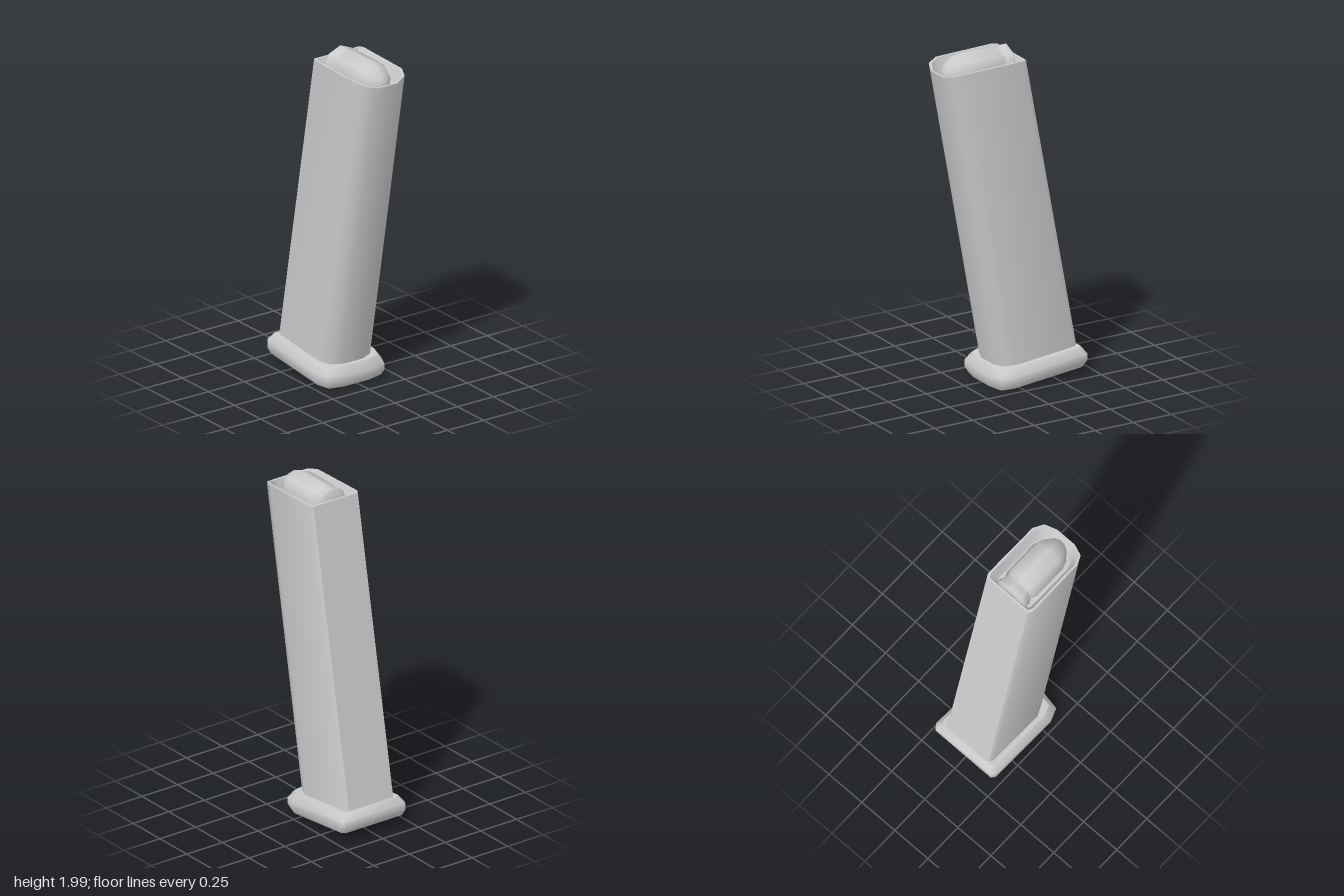
import * as THREE from 'three';
import { toCreasedNormals } from 'three/addons/utils/BufferGeometryUtils.js';

const material = new THREE.MeshStandardMaterial({ color: 0xcccccc });

// Mirrors a half outline (z > 0, back to front) into a closed one.
const mirror = (half) => [...half, ...half.map(([x, z, y]) => [x, -z, y]).reverse()];

// Shrinks an outline by a fixed margin on every side.
function inset(outline, margin) {
  const xs = outline.map((p) => p[0]);
  const lo = Math.min(...xs), hi = Math.max(...xs);
  const cx = (lo + hi) / 2;
  const hz = Math.max(...outline.map((p) => p[1]));
  const sx = 1 - margin / ((hi - lo) / 2), sz = 1 - margin / hz;
  return outline.map(([x, z, y]) => [cx + (x - cx) * sx, z * sz, y]);
}

// Skins a stack of rings of Vector3 and closes both ends.
function loft(rings, crease) {
  const n = rings[0].length;
  const center = (r) => r.reduce((s, p) => s.add(p), new THREE.Vector3()).divideScalar(n);
  const last = rings.length - 1;
  const points = [...rings.flat(), center(rings[0]), center(rings[last])];
  const index = [];
  for (let i = 0; i < n; i++) {
    const j = (i + 1) % n;
    for (let k = 0; k < last; k++) {
      const a = k * n + i, b = k * n + j;
      index.push(a, b, b + n, a, b + n, a + n);
    }
    index.push(j, i, points.length - 2, last * n + i, last * n + j, points.length - 1);
  }
  const geometry = new THREE.BufferGeometry().setFromPoints(points);
  geometry.setIndex(index);
  return toCreasedNormals(geometry, crease);
}

function addMesh(group, name, geometry) {
  const mesh = new THREE.Mesh(geometry, material);
  mesh.name = name;
  group.add(mesh);
  return mesh;
}

// Sloping plane on which the body meets the base plate.
const baseTop = (x) => 0.137 - 0.104 * x;

export function createModel() {
  const group = new THREE.Group();
  group.name = 'slantedCase';

  // Slanted hollow body; the outline holds x, z and rim height.
  const rim = mirror([
    [-0.06, 0.155, 1.945], [-0.035, 0.17, 1.945], [0.335, 0.168, 1.938],
    [0.4, 0.138, 1.922], [0.43, 0.066, 1.905],
  ]);
  const at = (outline, drop) => outline.map(([x, z, y]) => new THREE.Vector3(x, y - drop, z));
  const foot = rim.map(([x, z]) => new THREE.Vector3(x - 0.334, baseTop(x - 0.334) - 0.02, z));
  addMesh(group, 'body', loft(
    [foot, at(rim, 0), at(inset(rim, 0.013), 0), at(inset(rim, 0.045), 0.08)], 0.87));

  // Flared base plate with bevelled upper and lower edges.
  const plate = mirror([
    [-0.43, 0.21], [-0.405, 0.227], [0.055, 0.224], [0.13, 0.194], [0.15, 0.09],
  ]);
  const tiers = [[0.015, -0.117], [0, -0.085], [0, -0.045], [0.03, 0]];
  addMesh(group, 'basePlate', loft(tiers.map(([margin, dy]) =>
    inset(plate, margin).map(([x, z]) => new THREE.Vector3(x, baseTop(x) + dy, z))), 0.87));

  // Round-nosed insert lying in the opening, with a groove near its back.
  const profile = [
    [0, -0.03], [0.085, -0.04], [0.11, -0.025], [0.11, 0], [0.097, 0.03],
    [0.11, 0.06], [0.11, 0.28], [0.094, 0.325], [0.055, 0.375], [0.025, 0.392], [0, 0.396],
  ].map(([r, x]) => new THREE.Vector2(r, x));
  const insert = new THREE.LatheGeometry(profile, 8).rotateZ(-Math.PI / 2);
  addMesh(group, 'insert', toCreasedNormals(insert, 0.87)).position.y = 1.89;

  return group;
}
